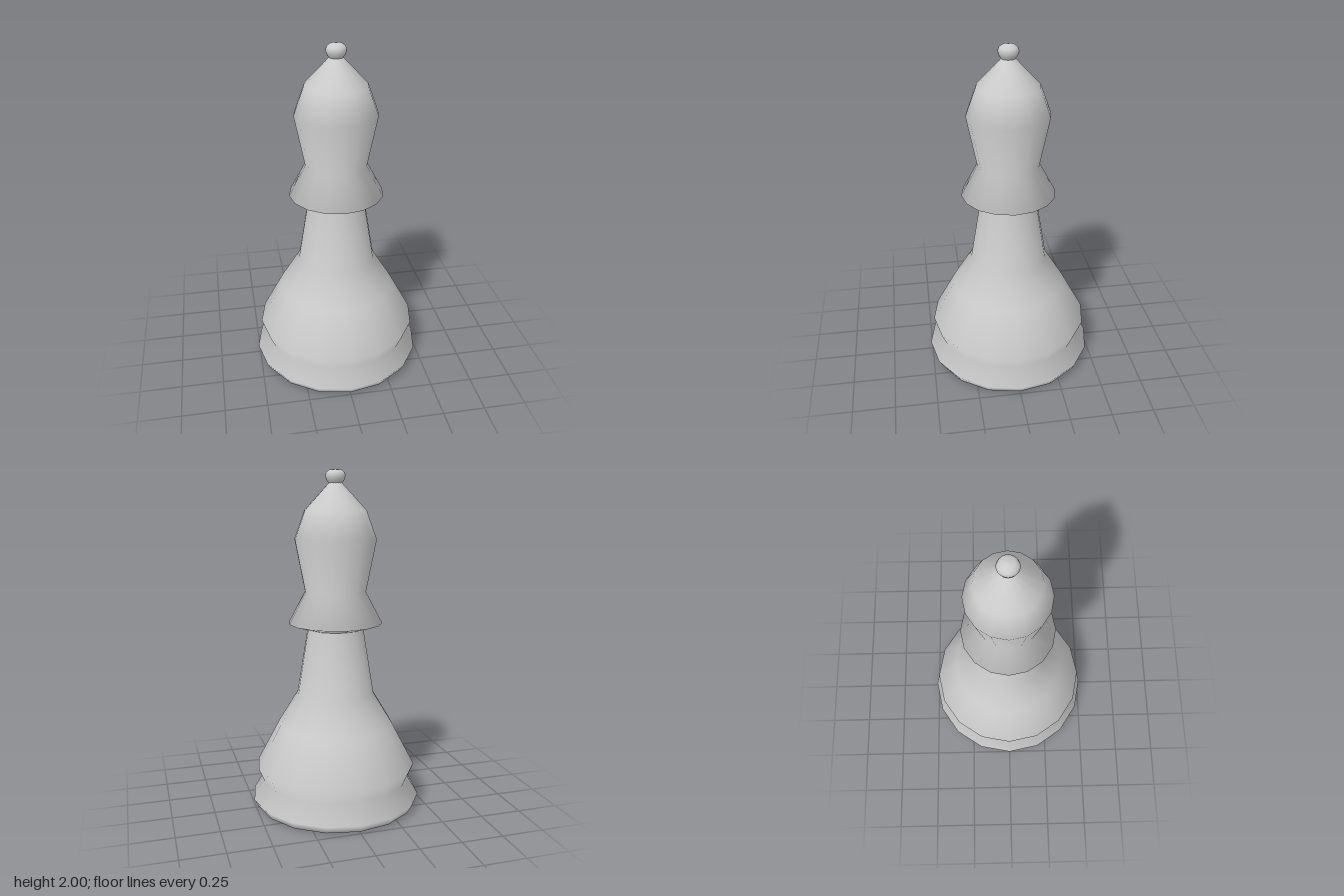
import * as THREE from 'three';

const SIDES = 16;

export function createModel() {
  const group = new THREE.Group();
  const material = new THREE.MeshStandardMaterial({ color: 0xcccccc });

  // Turns a list of [radius, height] points, bottom to top, into a smooth part
  const turned = (name, profile, sides = SIDES) => {
    const points = profile.map(([r, y]) => new THREE.Vector2(r, y));
    const mesh = new THREE.Mesh(new THREE.LatheGeometry(points, sides), material);
    mesh.name = name;
    group.add(mesh);
  };

  // Foot, bell and tapering stem
  turned('baseAndStem', [
    [0, 0], [0.46, 0], [0.485, 0.005], [0.51, 0.05], [0.445, 0.16], [0.48, 0.245],
    [0.345, 0.5], [0.23, 0.69], [0.165, 1.085],
  ]);

  // Flared collar with its underside, and the swelling head above it
  turned('collarAndHead', [
    [0.16, 1.08], [0.278, 1.115], [0.18, 1.3], [0.24, 1.605],
    [0.18, 1.77], [0.04, 1.92], [0.04, 1.93],
  ]);

  // Small rounded knob on the tip
  turned('finial', [
    [0.038, 1.92], [0.051, 1.938], [0.059, 1.962], [0.052, 1.982],
    [0.034, 1.995], [0, 2],
  ], 24);

  return group;
}
